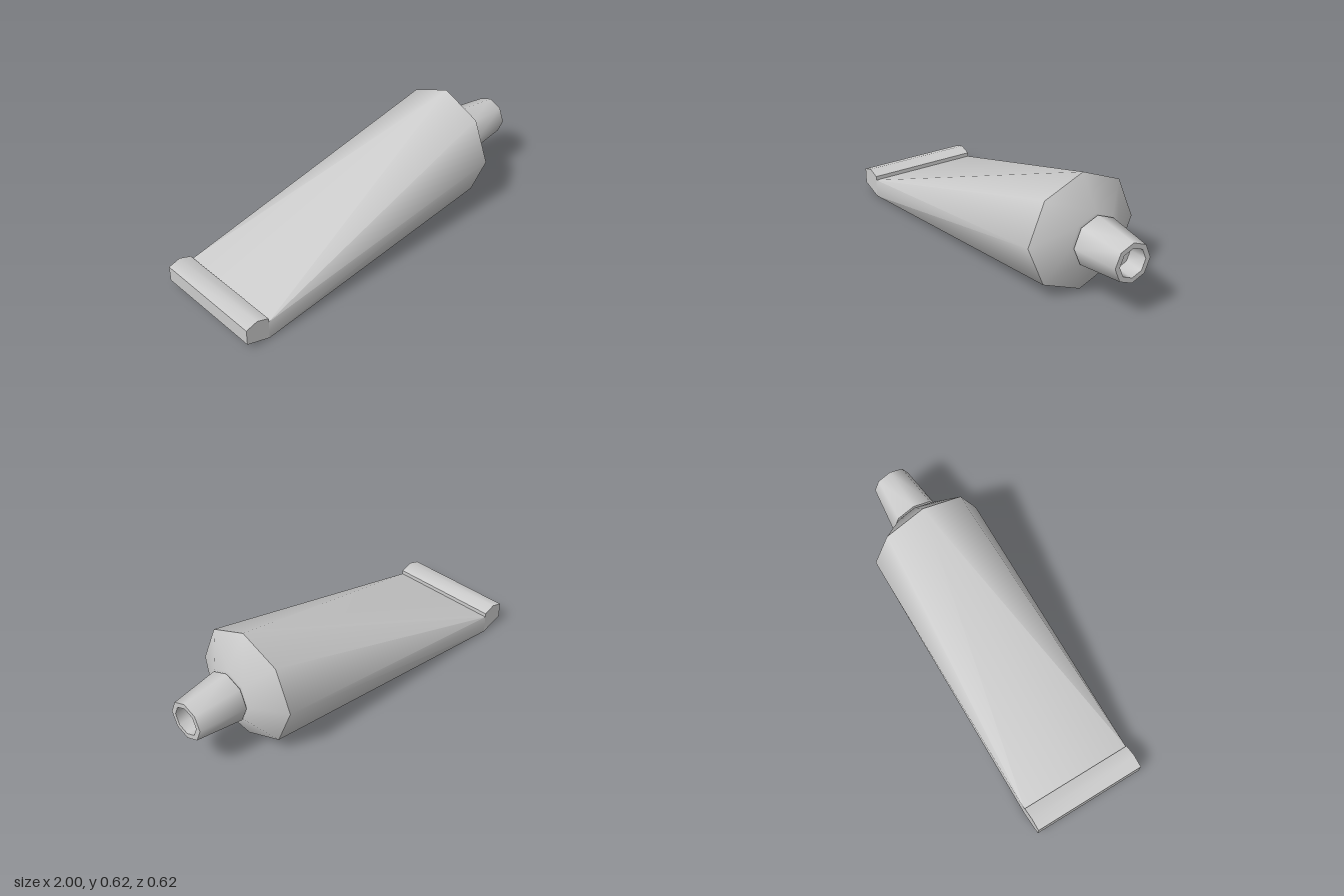
import * as THREE from 'three';
import { toCreasedNormals } from 'three/addons/utils/BufferGeometryUtils.js';

const R = 0.311; // tube radius and height of its axis
const material = new THREE.MeshStandardMaterial({ color: 0xcccccc, side: THREE.DoubleSide });

function part(name, geometry, crease = 0.9) {
  const mesh = new THREE.Mesh(toCreasedNormals(geometry, crease), material);
  mesh.name = name;
  return mesh;
}

// Eight-sided turned part along x; profile is a list of [x, radius]
function turned(name, profile) {
  const points = profile.map(([x, r]) => new THREE.Vector2(r, x));
  const geometry = new THREE.LatheGeometry(points, 8);
  geometry.rotateZ(-Math.PI / 2);
  geometry.translate(0, R, 0);
  return part(name, geometry);
}

// Tube body: octagon at the shoulder flattening to a thin rectangle at the tail
function tubeBody() {
  const head = [], tail = [];
  for (let k = 0; k < 8; k++) {
    const a = k * Math.PI / 4;
    const c = Math.cos(a), s = Math.sin(a);
    const sign = (v) => (Math.abs(v) < 0.01 ? 0 : Math.sign(v));
    head.push([0.625, R + R * c, R * s]);
    tail.push([-0.87, 0.05 + 0.05 * sign(c), R * sign(s)]);
  }
  const positions = [];
  for (let k = 0; k < 8; k++) {
    const n = (k + 1) % 8;
    // The diagonal of each panel runs to a corner of the tail
    const panel = k % 2 === 0
      ? [tail[k], tail[n], head[k], tail[n], head[n], head[k]]
      : [tail[k], tail[n], head[n], tail[k], head[n], head[k]];
    positions.push(...panel.flat());
  }
  const geometry = new THREE.BufferGeometry();
  geometry.setAttribute('position', new THREE.Float32BufferAttribute(positions, 3));
  return part('tubeBody', geometry);
}

// Rolled crimp across the flat tail
function tailFold() {
  const outline = [[-0.87, 0], [-0.87, 0.122], [-0.935, 0.145], [-1, 0.125], [-1, 0.04]];
  const shape = new THREE.Shape(outline.map(([x, y]) => new THREE.Vector2(x, y)));
  const geometry = new THREE.ExtrudeGeometry(shape, { depth: 2 * R, bevelEnabled: false });
  geometry.translate(0, 0, -R);
  return part('tailFold', geometry, 0.75);
}

export function createModel() {
  const group = new THREE.Group();
  group.name = 'squeezeTube';
  group.add(
    tubeBody(),
    tailFold(),
    turned('shoulder', [[0.625, R], [0.73, 0.142], [0.73, 0.11]]),
    turned('neck', [[0.73, 0.115], [0.76, 0.115]]),
    // Tapered cap with a recessed end
    turned('cap', [[0.742, 0.1], [0.742, 0.135], [1, 0.103], [1, 0.076], [0.9, 0.07], [0.9, 0]]),
  );
  return group;
}
